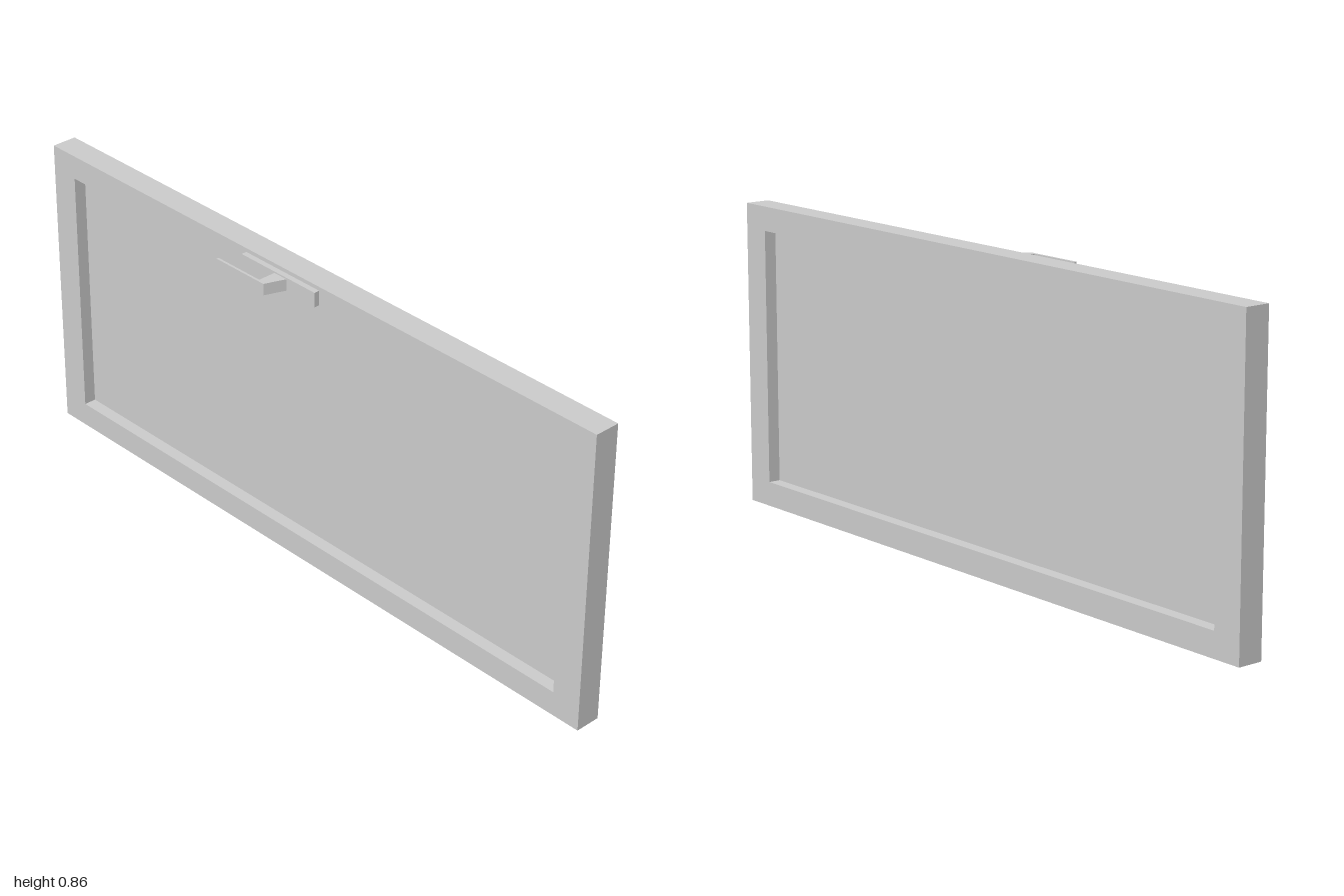
import * as THREE from 'three';

const material = new THREE.MeshStandardMaterial({ color: 0xcccccc });

function polygon(points, Type = THREE.Shape) {
  return new Type(points.map(([x, y]) => new THREE.Vector2(x, y)));
}

function rectangle(halfWidth, bottom, top, Type) {
  return polygon([[-halfWidth, bottom], [halfWidth, bottom], [halfWidth, top], [-halfWidth, top]], Type);
}

function extrude(shape, depth) {
  return new THREE.ExtrudeGeometry(shape, { depth, bevelEnabled: false });
}

function part(name, geometry) {
  const mesh = new THREE.Mesh(geometry, material);
  mesh.name = name;
  return mesh;
}

export function createModel() {
  const group = new THREE.Group();
  group.name = 'framedDoor';
  const thickness = 0.073, height = 0.863;

  // Rectangular frame, extruded across the door thickness
  const outline = rectangle(1, 0, height);
  outline.holes.push(rectangle(0.914, 0.07, 0.794, THREE.Path));
  group.add(part('frame', extrude(outline, thickness).rotateY(Math.PI / 2)));

  // Thin pane at mid-thickness, recessed from both sides
  const pane = new THREE.BoxGeometry(0.002, 0.724, 1.828);
  group.add(part('pane', pane.translate(thickness / 2, 0.432, 0)));

  // Latch on the -x side: backing plate and hooked handle
  const latch = new THREE.Group();
  latch.name = 'latch';
  const plate = new THREE.BoxGeometry(0.016, 0.042, 0.274);
  latch.add(part('latchPlate', plate.translate(-0.008, 0.831, -0.073)));

  // Handle profile seen from above, as [x, z]
  const profile = [
    [-0.016, -0.04], [-0.075, -0.062], [-0.075, -0.24],
    [-0.068, -0.24], [-0.068, -0.085], [-0.016, -0.085],
  ];
  const handle = extrude(polygon(profile.map(([x, z]) => [x, -z])), 0.033);
  latch.add(part('latchHandle', handle.rotateX(-Math.PI / 2).translate(0, 0.815, 0)));
  group.add(latch);

  return group;
}
